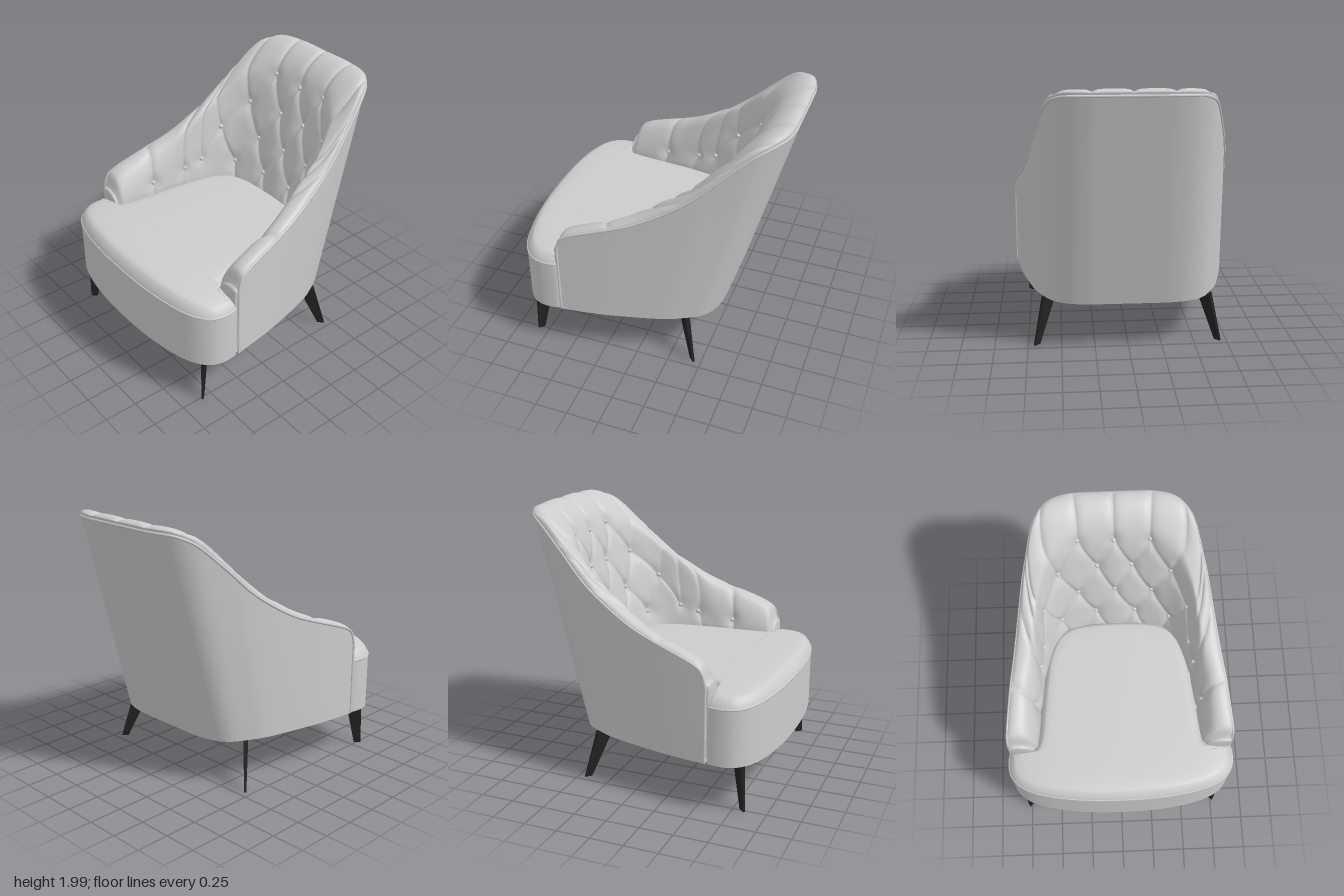
import * as THREE from 'three';

const V = (x, y, z) => new THREE.Vector3(x, y, z);
const { clamp, smoothstep, lerp, degToRad } = THREE.MathUtils;
const fabric = new THREE.MeshStandardMaterial({ color: 0xcccccc, side: THREE.DoubleSide });
const dark = new THREE.MeshStandardMaterial({ color: 0x222222 });
const BASE = 0.36;

function mesh(name, geometry, material = fabric) {
  const m = new THREE.Mesh(geometry, material);
  m.name = name;
  return m;
}

// Smooth surface through rows of points
function loft(rows, closed = false) {
  const n = rows[0].length, index = [];
  for (let i = 0; i < rows.length - 1; i++) {
    for (let j = 0; j < (closed ? n : n - 1); j++) {
      const k = (j + 1) % n, a = i * n + j, b = i * n + k;
      index.push(a, b, a + n, b, b + n, a + n);
    }
  }
  const g = new THREE.BufferGeometry().setFromPoints(rows.flat());
  g.setIndex(index);
  g.computeVertexNormals();
  return g;
}

// Cubic interpolation of y over sorted [x, y] points
function interpolate(pts, x) {
  let i = 0;
  while (i < pts.length - 2 && x > pts[i + 1][0]) i++;
  const slope = (k) => {
    const a = pts[Math.max(k - 1, 0)], b = pts[Math.min(k + 1, pts.length - 1)];
    return (b[1] - a[1]) / (b[0] - a[0]);
  };
  const [x0, y0] = pts[i], [x1, y1] = pts[i + 1], h = x1 - x0;
  const t = clamp((x - x0) / h, 0, 1), s = 1 - t;
  return y0 * (1 + 2 * t) * s * s + slope(i) * h * t * s * s + y1 * t * t * (3 - 2 * t) - slope(i + 1) * h * t * t * s;
}

function smoothMin(a, b, k) {
  const h = Math.max(k - Math.abs(a - b), 0) / k;
  return Math.min(a, b) - h * h * k / 4;
}

// U-shaped plans: x and depth fraction (0 = back, 1 = arm front)
function uPlan(half) {
  const left = half.slice(1).reverse().map(([x, d]) => V(-x, 0, d));
  return new THREE.CatmullRomCurve3([...left, ...half.map(([x, d]) => V(x, 0, d))], false, 'catmullrom');
}
const outerPlan = uPlan([[0, 0], [0.16, 0], [0.31, 0.003], [0.45, 0.028], [0.56, 0.09], [0.637, 0.2], [0.705, 0.34], [0.793, 0.65], [0.827, 0.82], [0.855, 1]]);
const innerPlan = uPlan([[0, 0], [0.15, 0], [0.28, 0.018], [0.395, 0.068], [0.482, 0.168], [0.532, 0.3], [0.57, 0.45], [0.6, 0.65], [0.62, 0.82], [0.64, 1]]);
const FRONT = 0.57;
function place(plan, u, y, back) {
  const p = plan.getPoint(u);
  return V(p.x, y, back + (FRONT - back) * p.z);
}
const outer = (u, y) => place(outerPlan, u, y, -0.565 - 0.27 * (y - BASE));
function inner(u, y) {
  const p = place(innerPlan, u, y, -0.45 - 0.29 * (y - 0.9));
  // The sides open outwards as they rise
  p.x += Math.sign(p.x) * 0.12 * Math.max(0, y - 0.9) * smoothstep(Math.abs(p.x), 0.25, 0.55);
  return p;
}

// Height of the sweeping rim, found where the leaning shell meets it
const RIM = [[-1, 1.95], [-0.92, 1.935], [-0.8, 1.87], [-0.6, 1.69], [-0.4, 1.5], [-0.2, 1.36], [0, 1.25], [0.2, 1.175], [0.4, 1.105], [0.5, 1.062], [0.545, 1.02], [0.57, 0.93]];
function rimHeight(u) {
  let lo = 0.5, hi = 2.1;
  for (let i = 0; i < 30; i++) {
    const y = (lo + hi) / 2;
    if (y < interpolate(RIM, outer(u, y).z)) lo = y; else hi = y;
  }
  return lo;
}

// Tufting layout: p runs around the inside of the back, y is height
const BUTTONS = [[0, 1.76], [0.26, 1.76], [0.13, 1.5], [0.4, 1.5], [0, 1.23], [0.28, 1.23], [0.57, 1.29], [0.15, 1.0], [0.43, 1.01], [0.7, 1.05], [0.84, 1.0], [1.1, 0.95]];
const SEAMS = [
  [0, 1.76, 0, 2.3], [0.26, 1.76, 0.26, 2.3], [0.4, 1.5, 0.5, 2.1], [0.57, 1.29, 0.66, 1.8],
  [0, 1.76, 0.13, 1.5], [0.26, 1.76, 0.13, 1.5], [0.26, 1.76, 0.4, 1.5],
  [0.13, 1.5, 0, 1.23], [0.13, 1.5, 0.28, 1.23], [0.4, 1.5, 0.28, 1.23], [0.4, 1.5, 0.57, 1.29],
  [0, 1.23, 0.15, 1.0], [0.28, 1.23, 0.15, 1.0], [0.28, 1.23, 0.43, 1.01], [0.57, 1.29, 0.43, 1.01],
  [0.57, 1.29, 0.7, 1.05], [0.15, 1.0, 0.05, 0.8], [0.15, 1.0, 0.24, 0.8], [0.43, 1.01, 0.36, 0.8],
  [0.7, 1.05, 0.72, 1.7], [0.84, 0.8, 0.87, 1.6], [1.1, 0.8, 1.12, 1.5],
];
function tuftDepth(p, y) {
  p = Math.abs(p);
  let seam = 9, button = 9;
  for (const [a, b, c, d] of SEAMS) {
    const dx = c - a, dy = d - b;
    const t = clamp(((p - a) * dx + (y - b) * dy) / (dx * dx + dy * dy), 0, 1);
    seam = Math.min(seam, Math.hypot(p - a - t * dx, y - b - t * dy));
  }
  for (const [a, b] of BUTTONS) button = Math.min(button, Math.hypot(p - a, y - b));
  return 0.022 * Math.exp(-seam / 0.022) + 0.022 * Math.exp(-((button / 0.06) ** 2)) - 0.008;
}

function buildPadding(group) {
  const N = 320, WALL = 46, ROLL = 24;
  // Arc positions around the inner plan, measured from the centre of the back
  const arc = [0];
  for (let i = 1; i <= N; i++) arc.push(arc[i - 1] + inner(i / N, 0.9).distanceTo(inner((i - 1) / N, 0.9)));
  const samples = [];
  const section = (i) => {
    const u = i / N, p = arc[i] - arc[N] / 2, top = rimHeight(u);
    const back = clamp((top - 1) / 0.95, 0, 1);
    // The roll is broadest on the wings between arm and back
    const r = 0.2 + 0.05 * back + 0.5 * back * (1 - back), lift = 0.03 + 0.018 * back, pts = [inner(u, 0.4)];
    const add = (y, blend, angle) => {
      const a = inner(u, y), b = outer(u, y);
      const dir = b.clone().sub(a).normalize().multiplyScalar(Math.cos(angle));
      dir.y -= Math.sin(angle);
      const fade = Math.min(1, (1 - blend) * 6);
      const point = a.lerp(b, blend);
      // The padding never rises far above the sweep of the rim
      point.y = smoothMin(y, interpolate(RIM, point.z) + 0.035 + 0.025 * back, 0.06);
      point.addScaledVector(dir, fade * tuftDepth(p, y));
      samples.push({ p, y, point });
      pts.push(point);
    };
    for (let j = 0; j < WALL; j++) add(0.74 + (top - r - 0.74) * j / WALL, 0, 0);
    for (let j = 0; j <= ROLL; j++) {
      const a = degToRad(115 * j / ROLL), s = Math.sin(a);
      const y = a < Math.PI / 2 ? top - r + (r + lift) * s : top + lift - (0.2 + lift) * (1 - s);
      add(y, 0.7 * (1 - Math.cos(a)), a);
    }
    for (const y of [top - 0.03, 0.8, 0.4]) pts.push(inner(u, y).lerp(outer(u, y), 0.97));
    return pts;
  };
  const rows = [];
  for (let i = 0; i <= N; i++) rows.push(section(i));
  // Rounded arm fronts
  const cap = (row) => {
    const c = V(Math.sign(row[0].x) * 0.75, 0.8, FRONT);
    return [[0.985, 0.012], [0.95, 0.022], [0.88, 0.028], [0.5, 0.03], [0, 0.03]].map(([s, dz]) =>
      row.map((q) => c.clone().add(q.clone().sub(c).multiplyScalar(s)).add(V(0, 0, dz))));
  };
  group.add(mesh('tuftedPadding', loft([...cap(rows[0]).reverse(), ...rows, ...cap(rows[N])])));

  // Buttons sit at the bottom of each tuft
  const ball = new THREE.SphereGeometry(0.018, 14, 10);
  for (const [bp, by] of BUTTONS) {
    for (const side of bp ? [-1, 1] : [1]) {
      const off = (s) => Math.hypot(s.p - side * bp, s.y - by);
      const b = mesh('button', ball);
      b.position.copy(samples.reduce((best, s) => (off(s) < off(best) ? s : best)).point);
      group.add(b);
    }
  }
}

function buildShell(group) {
  const N = 200, rows = [], rim = [];
  for (let i = 0; i <= N; i++) {
    const u = i / N, top = rimHeight(u), row = [];
    for (let j = 0; j <= 12; j++) row.push(outer(u, BASE + (top - BASE) * j / 12));
    rows.push(row);
    rim.push(row[12]);
  }
  group.add(mesh('outerShell', loft(rows)));
  const floor = new THREE.ShapeGeometry(new THREE.Shape(rows.map((r) => new THREE.Vector2(r[0].x, r[0].z))));
  floor.rotateX(Math.PI / 2).translate(0, BASE, 0);
  group.add(mesh('underside', floor));
  // Piping along the rim and down both front edges
  const drop = [0.37, 0.6, 0.85];
  const path = [...drop.map((y) => outer(0, y)), ...rim, ...drop.reverse().map((y) => outer(1, y))];
  group.add(mesh('rimPiping', new THREE.TubeGeometry(new THREE.CatmullRomCurve3(path), 400, 0.01, 8)));
}

function buildSeat(group) {
  const half = [[0.3, 0.98], [0.55, 0.942], [0.72, 0.887], [0.82, 0.81], [0.86, 0.72], [0.857, 0.61], [0.82, 0.576], [0.7, 0.572], [0.645, 0.53], [0.62, 0.35], [0.59, 0.05], [0.55, -0.18], [0.46, -0.36], [0.3, -0.44]];
  const pts = [[0, 0.992], ...half, [0, -0.46], ...half.slice().reverse().map(([x, z]) => [-x, z])];
  const plan = new THREE.CatmullRomCurve3(pts.map(([x, z]) => V(x, 0, z)), true, 'catmullrom');
  const N = 280, centre = V(0, 0, 0.55);
  const outline = (inset, k) => Array.from({ length: N }, (_, i) => {
    const t = plan.getTangent(i / N);
    return plan.getPoint(i / N).add(V(t.z * inset, 0, -t.x * inset)).lerp(centre, k);
  });
  const flat = (inset, k, y) => outline(inset, k).map((q) => q.setY(y));
  // Crowned top: rise 0 is the piped edge, 1 the cushion's surface
  const crown = (inset, k, rise) => outline(inset, k).map((q) => {
    const edge = (q.x / 0.86) ** 4 + (Math.max(q.z - 0.45, 0) / 0.54) ** 4;
    const top = 0.912 - 0.035 * Math.min(edge, 1.2) ** 2;
    return q.setY(lerp(0.812, top, rise) - 0.03 * (q.x / 0.86) ** 2);
  });
  const rings = [flat(0, 1, 0.362), flat(0, 0, 0.362), flat(0, 0, 0.362), flat(0, 0, 0.6), crown(0, 0, -0.2)];
  for (const [inset, rise] of [[0, 0], [0.006, 0.3], [0.02, 0.62], [0.04, 0.88], [0.06, 1]]) rings.push(crown(inset, 0, rise));
  for (let i = 1; i <= 14; i++) rings.push(crown(0.06, i / 14, 1));
  group.add(mesh('seat', loft(rings, true)));
  const path = new THREE.CatmullRomCurve3(crown(0.004, 0, 0.03), true);
  group.add(mesh('seatPiping', new THREE.TubeGeometry(path, 280, 0.009, 8, true)));
}

// Thin tapered blade, set on the diagonal and splayed outwards
function buildLeg(name, sx, sz, top, foot) {
  const h = BASE, g = new THREE.BoxGeometry(0.12, h, 0.034);
  g.translate(0, h / 2, 0).rotateY(-sx * sz * Math.PI / 4);
  const pos = g.attributes.position;
  for (let i = 0; i < pos.count; i++) {
    const t = pos.getY(i) / h, s = 0.45 + 0.55 * t;
    pos.setX(i, pos.getX(i) * s + sx * lerp(foot[0], top[0], t));
    pos.setZ(i, pos.getZ(i) * s + lerp(foot[1], top[1], t));
  }
  g.computeVertexNormals();
  return mesh(name, g, dark);
}

export function createModel() {
  const group = new THREE.Group();
  group.name = 'armchair';
  buildShell(group);
  buildPadding(group);
  buildSeat(group);
  for (const sx of [-1, 1]) {
    group.add(buildLeg('frontLeg', sx, 1, [0.725, 0.78], [0.75, 0.82]));
    group.add(buildLeg('rearLeg', sx, -1, [0.59, -0.33], [0.685, -0.43]));
  }
  return group;
}
